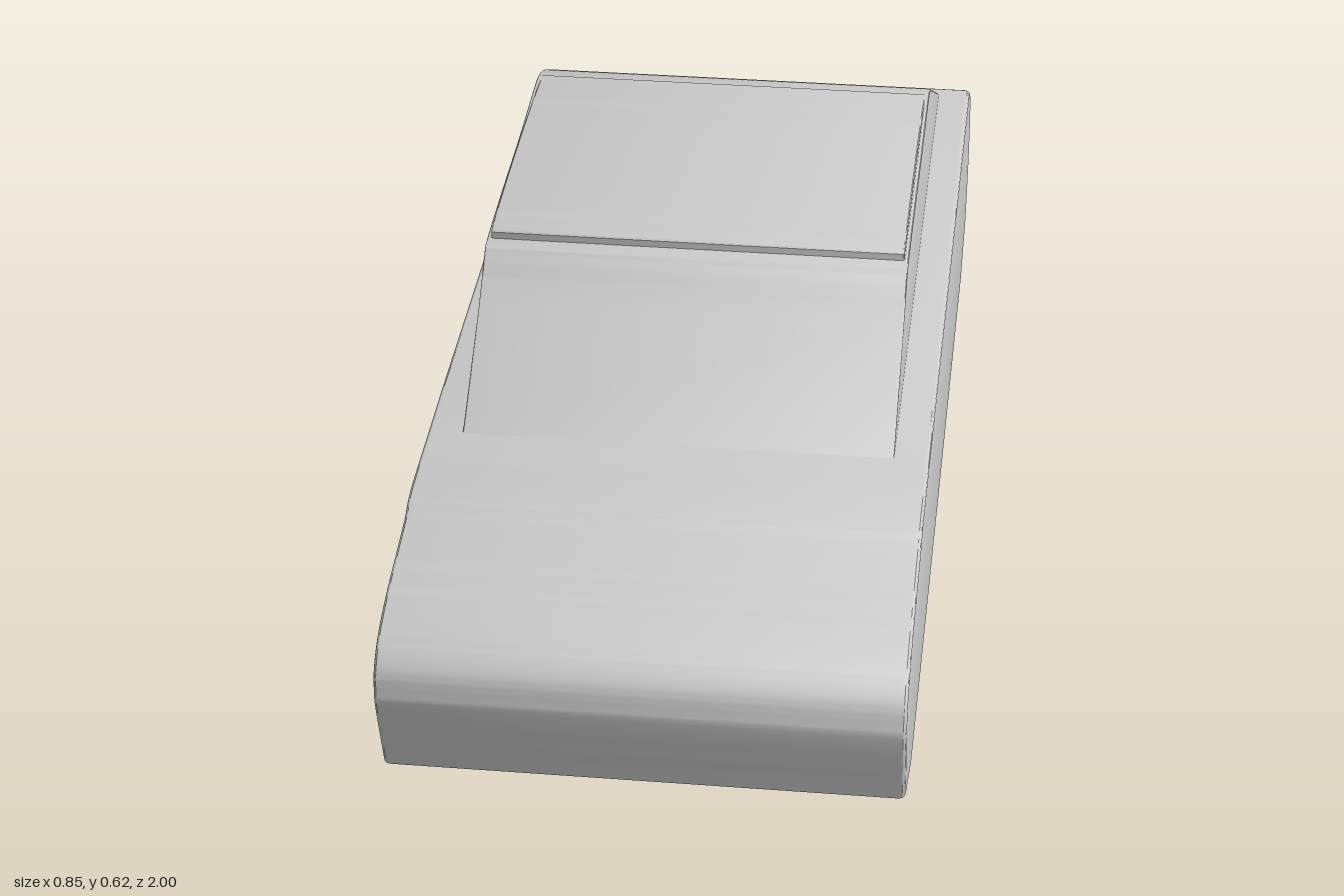
import * as THREE from 'three';
import { toCreasedNormals } from 'three/addons/utils/BufferGeometryUtils.js';

// Side profile made of runs of [z, y] points: two-point runs are straight, longer ones are curved.
function sideProfile(runs) {
  const shape = new THREE.Shape();
  runs.forEach((run, i) => {
    const pts = run.map(([z, y]) => new THREE.Vector2(-z, y));
    if (i === 0) shape.moveTo(pts[0].x, pts[0].y);
    else shape.lineTo(pts[0].x, pts[0].y);
    if (pts.length > 2) shape.splineThru(pts.slice(1));
    else if (pts.length === 2) shape.lineTo(pts[1].x, pts[1].y);
  });
  return shape;
}

// Extrudes a side profile across the car's width, with rounded side edges.
function acrossWidth(name, runs, halfWidth, bevel, material) {
  let geometry = new THREE.ExtrudeGeometry(sideProfile(runs), {
    depth: 2 * (halfWidth - bevel),
    curveSegments: 6,
    bevelEnabled: true,
    bevelSize: bevel,
    bevelThickness: bevel,
    bevelOffset: -bevel,
    bevelSegments: 3,
  });
  geometry.translate(0, 0, -(halfWidth - bevel));
  geometry.rotateY(Math.PI / 2);
  geometry = toCreasedNormals(geometry, 0.32);
  const mesh = new THREE.Mesh(geometry, material);
  mesh.name = name;
  return mesh;
}

export function createModel() {
  const car = new THREE.Group();
  car.name = 'car';
  const grey = new THREE.MeshStandardMaterial({ color: 0xcccccc });
  grey.name = 'light grey';

  // Lower body: flat floor, rounded nose, bonnet, belt line and rounded tail
  car.add(acrossWidth('body', [
    [[-0.81, 0], [0.79, 0]],
    [[0.95, 0.06], [0.995, 0.2], [0.998, 0.24], [0.985, 0.28], [0.94, 0.315], [0.86, 0.34],
      [0.74, 0.361], [0.69, 0.369], [0.65, 0.384], [0.6, 0.389], [0.46, 0.391]],
    [[0.32, 0.394], [-0.4, 0.394]],
    [[-0.86, 0.391], [-0.91, 0.377], [-0.95, 0.35], [-0.98, 0.3], [-0.998, 0.22],
      [-0.993, 0.16], [-0.955, 0.06]],
  ], 0.424, 0.01, grey));

  // Cabin: sloping windscreen and long fastback rear
  car.add(acrossWidth('cabin', [
    [[-0.84, 0.33], [0.44, 0.33]],
    [[0.465, 0.39], [0.27, 0.525]],
    [[0.23, 0.56], [0.2, 0.587], [0.165, 0.6], [0, 0.605], [-0.2, 0.606], [-0.38, 0.613],
      [-0.44, 0.609], [-0.5, 0.588], [-0.56, 0.553]],
    [[-0.6, 0.533], [-0.875, 0.385]],
  ], 0.364, 0.003, grey));

  // Raised roof panel
  car.add(acrossWidth('roof', [
    [[-0.41, 0.595], [0.165, 0.59]],
    [[0.165, 0.612], [0.14, 0.619], [0, 0.624], [-0.2, 0.624], [-0.34, 0.619], [-0.43, 0.612]],
  ], 0.357, 0.004, grey));

  // Slightly bulged rear window
  car.add(acrossWidth('rearWindow', [
    [[-0.8, 0.42], [-0.57, 0.543]],
    [[-0.57, 0.55], [-0.64, 0.516], [-0.72, 0.473], [-0.8, 0.427]],
  ], 0.35, 0.001, grey));

  return car;
}
